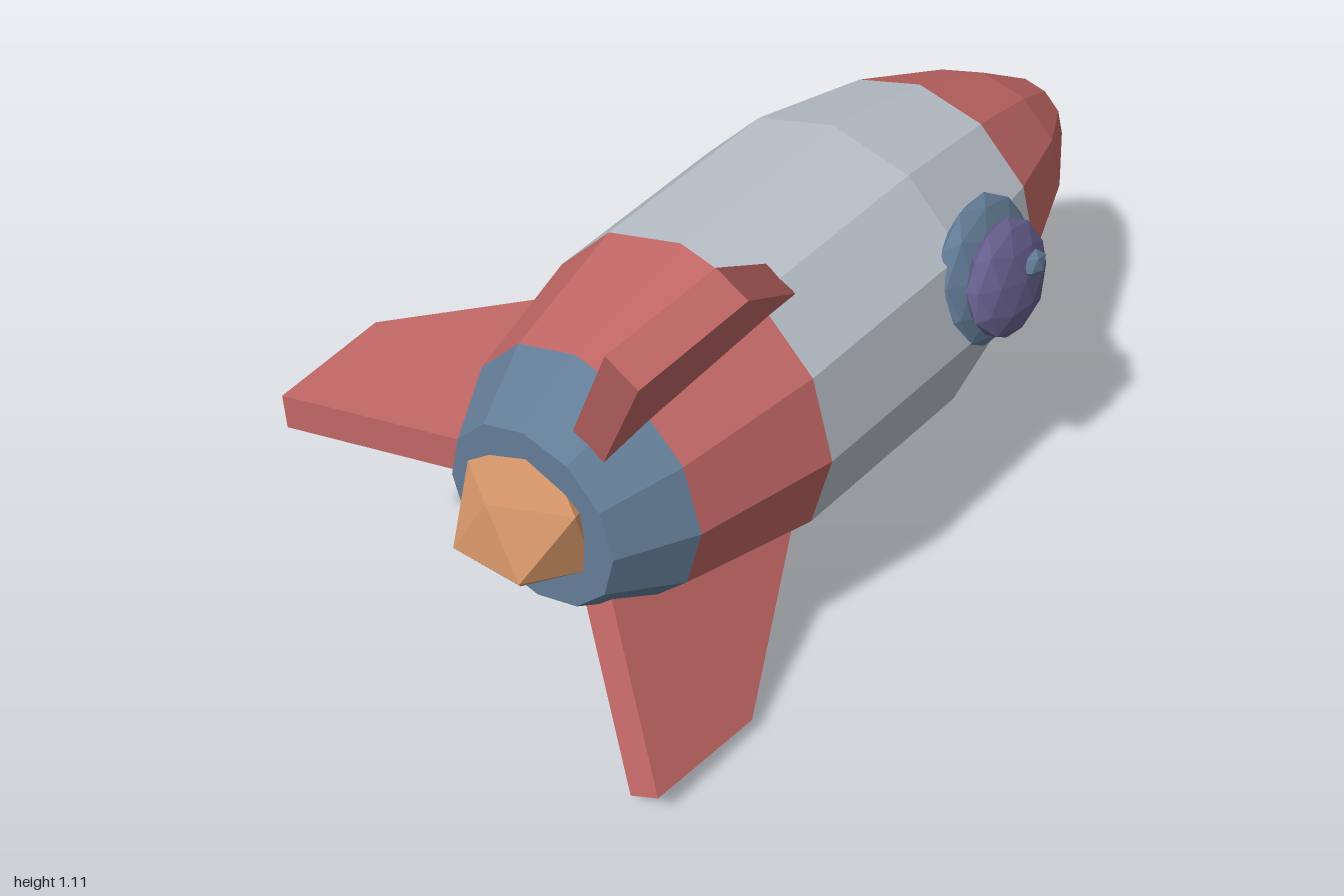
import * as THREE from 'three';

const AXIS_Y = 0.562, AXIS_Z = 0.085;
const SIDES = 12;

const material = (name, color) => {
  const m = new THREE.MeshStandardMaterial({ color });
  m.name = name;
  return m;
};

// Give every face its own normal for a faceted look
function faceted(geometry) {
  const g = geometry.index ? geometry.toNonIndexed() : geometry;
  g.computeVertexNormals();
  return g;
}

function addMesh(parent, name, geometry, mat) {
  const mesh = new THREE.Mesh(faceted(geometry), mat);
  mesh.name = name;
  parent.add(mesh);
  return mesh;
}

export function createModel() {
  const red = material('red paint', 0xc26866);
  const grey = material('light grey hull', 0xbac1ca);
  const blue = material('slate blue metal', 0x647d98);
  const purple = material('purple glass', 0x675f8e);
  const orange = material('orange flame', 0xd6966a);

  const model = new THREE.Group();
  model.name = 'rocket';

  // Everything is built around the long x axis, then lifted into place
  const rocket = new THREE.Group();
  rocket.name = 'rocketBody';
  rocket.position.set(0, AXIS_Y, AXIS_Z);
  model.add(rocket);

  // Hull bands: [x, radius] profiles spun around x
  const bands = [
    ['engineCollar', blue, [[-0.87, 0], [-0.87, 0.2], [-0.72, 0.285]]],
    ['tailBand', red, [[-0.72, 0.285], [-0.41, 0.36]]],
    ['hull', grey, [[-0.41, 0.36], [0.09, 0.376], [0.42, 0.316]]],
    ['noseCone', red, [[0.42, 0.316], [0.69, 0.22], [0.89, 0.11], [1, 0]]],
  ];
  for (const [name, mat, profile] of bands) {
    const points = profile.map(([x, r]) => new THREE.Vector2(r, x));
    addMesh(rocket, name, new THREE.LatheGeometry(points, SIDES).rotateZ(-Math.PI / 2), mat);
  }

  // Flame at the tail
  const flame = addMesh(rocket, 'flame', new THREE.IcosahedronGeometry(0.155, 0), orange);
  flame.position.set(-0.868, 0.003, 0);
  flame.rotation.z = 0.26;

  // Three swept fins, evenly spaced
  const outline = [[-0.93, 0.595], [-0.82, 0.22], [-0.45, 0.2], [-0.33, 0.355], [-0.65, 0.62]];
  const finShape = new THREE.Shape(outline.map(([x, r]) => new THREE.Vector2(x, r)));
  const finNames = ['backFin', 'upperFin', 'lowerFin'];
  finNames.forEach((name, i) => {
    const geometry = new THREE.ExtrudeGeometry(finShape, { depth: 0.08, bevelEnabled: false });
    geometry.translate(0, 0, -0.04);
    const fin = addMesh(rocket, name, geometry, red);
    fin.rotation.x = -Math.PI / 2 + i * Math.PI * 2 / 3;
  });

  // Porthole of three flattened faceted domes, facing along one hull panel
  const porthole = new THREE.Group();
  porthole.name = 'porthole';
  porthole.position.set(0.17, 0.67, 0.418);
  porthole.rotation.x = -0.24;
  model.add(porthole);
  const domes = [
    // name, material, centre, half sizes
    ['portholeFrame', blue, [0, 0, 0], [0.17, 0.165, 0.045]],
    ['portholeGlass', purple, [0.003, -0.012, 0.052], [0.137, 0.128, 0.047]],
    ['portholeKnob', blue, [0.042, 0.008, 0.1], [0.038, 0.031, 0.016]],
  ];
  for (const [name, mat, centre, size] of domes) {
    const detail = name === 'portholeKnob' ? 0 : 1;
    const dome = addMesh(porthole, name,
      new THREE.IcosahedronGeometry(1, detail).rotateZ(0.3).scale(...size), mat);
    dome.position.set(...centre);
  }

  return model;
}
